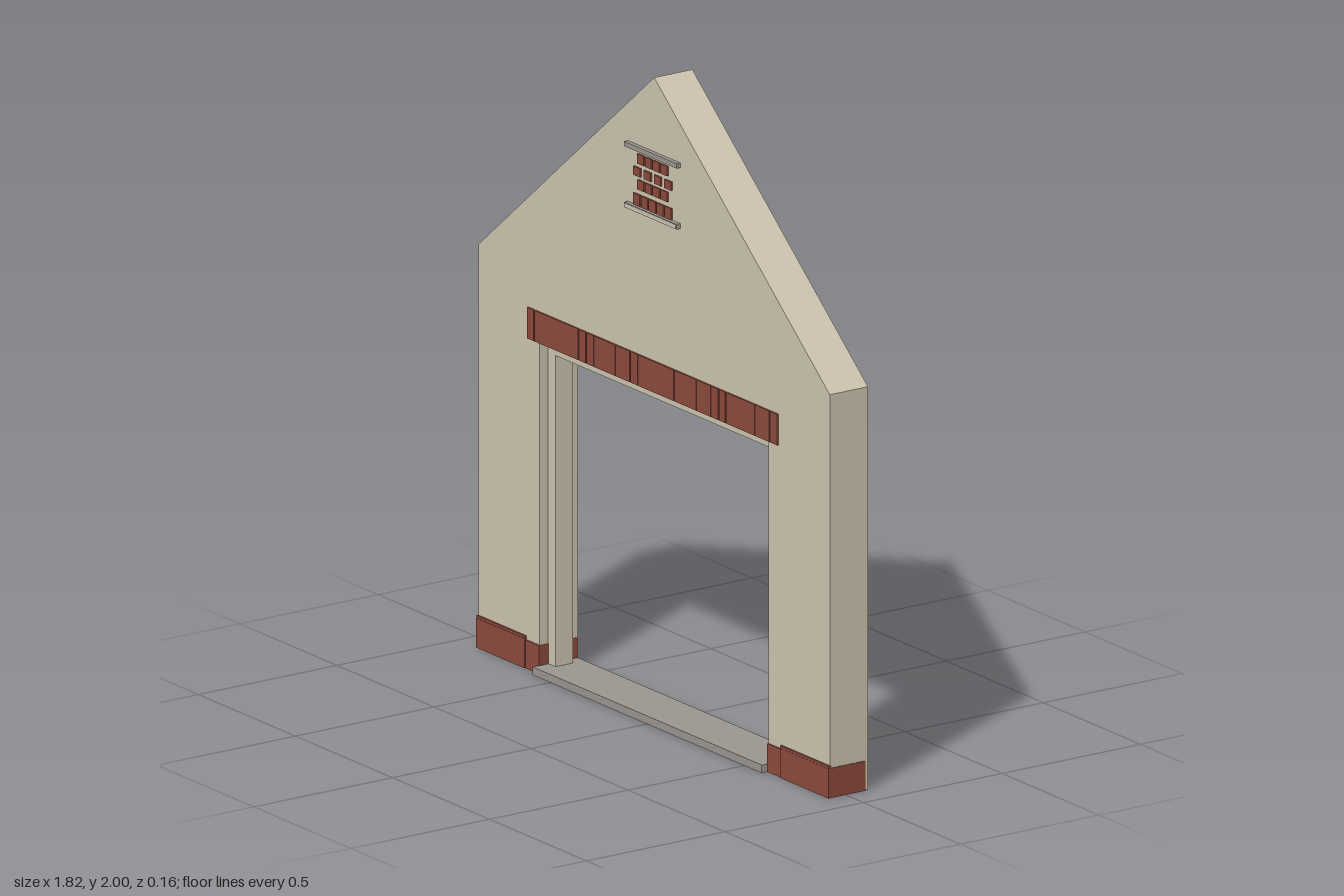
import * as THREE from 'three';

const mat = (name, color) => {
  const m = new THREE.MeshStandardMaterial({ color });
  m.name = name;
  return m;
};

export function createModel() {
  const model = new THREE.Group();
  const render = mat('cream render', 0xcec5b0);
  const brick = mat('red brick', 0x8c4a3d);
  const stone = mat('grey stone', 0x9c9690);

  // box given by its lower and upper limits on each axis
  const box = (name, material, x0, x1, y0, y1, z0, z1, parent = model) => {
    const mesh = new THREE.Mesh(new THREE.BoxGeometry(x1 - x0, y1 - y0, z1 - z0), material);
    mesh.position.set((x0 + x1) / 2, (y0 + y1) / 2, (z0 + z1) / 2);
    mesh.name = name;
    parent.add(mesh);
    return mesh;
  };
  const group = (name) => {
    const g = new THREE.Group();
    g.name = name;
    model.add(g);
    return g;
  };
  // extruded outline from z0 to z1
  const slab = (name, points, z0, z1) => {
    const shape = new THREE.Shape(points.map(([x, y]) => new THREE.Vector2(x, y)));
    const geo = new THREE.ExtrudeGeometry(shape, { depth: z1 - z0, bevelEnabled: false });
    const mesh = new THREE.Mesh(geo, render);
    mesh.position.z = z0;
    mesh.name = name;
    model.add(mesh);
  };

  // gable wall with doorway
  slab('gableWall', [
    [-0.905, 0.002], [-0.59, 0.002], [-0.59, 1.03], [0.59, 1.03], [0.59, 0.002],
    [0.905, 0.002], [0.905, 1.25], [0, 2], [-0.905, 1.25],
  ], -0.083, 0.055);

  // door frame set back inside the reveal
  slab('doorFrame', [
    [-0.59, 0.02], [-0.553, 0.02], [-0.553, 0.99], [0.553, 0.99], [0.553, 0.02],
    [0.59, 0.02], [0.59, 1.03], [-0.59, 1.03],
  ], -0.04, 0.024);

  box('doorSill', stone, -0.59, 0.59, 0, 0.025, -0.082, 0.08);

  // brick plinths, mirrored
  for (const s of [-1, 1]) {
    const span = (a, b) => (s > 0 ? [a, b] : [-b, -a]);
    const plinth = group(s > 0 ? 'leftPlinth' : 'rightPlinth');
    box('plinthBlock', brick, ...span(0.658, 0.908), 0, 0.092, -0.072, 0.062, plinth);
    box('plinthTopCourse', brick, ...span(0.658, 0.907), 0.092, 0.1, 0.05, 0.061, plinth);
    box('plinthReturn', brick, ...span(0.588, 0.658), 0, 0.088, -0.08, 0.059, plinth);
  }

  // soldier course over the door, with open joints between runs
  const lintel = group('brickLintel');
  const joints = [-0.648, -0.61, -0.38, -0.342, -0.115, 0.112, 0.34, 0.376, 0.604, 0.645];
  for (let i = 0; i < joints.length - 1; i++) {
    const a = joints[i] + 0.0025, b = joints[i + 1] - 0.0025;
    const n = Math.max(1, Math.round((b - a) / 0.037));
    const w = (b - a) / n;
    for (let k = 0; k < n; k++) {
      box('lintelBrick', brick, a + k * w, a + (k + 1) * w - 0.0006, 1.026, 1.122, 0.05, 0.061, lintel);
    }
  }

  // bricked-up vent: [bottom, top, left, right, brick count, gap]
  const vent = group('brickVent');
  const rows = [
    [1.583, 1.618, -0.1, 0.095, 5, 0.006],
    [1.634, 1.664, -0.08, 0.074, 4, 0.007],
    [1.674, 1.701, -0.1, 0.095, 4, 0.019],
    [1.714, 1.744, -0.08, 0.074, 4, 0.007],
  ];
  for (const [y0, y1, x0, x1, n, gap] of rows) {
    const w = (x1 - x0 + gap) / n;
    for (let k = 0; k < n; k++) {
      box('ventBrick', brick, x0 + k * w, x0 + (k + 1) * w - gap, y0, y1, 0.05, 0.061, vent);
    }
  }

  // stone bars above and below the vent, the lower one rendered on its face
  box('ventHead', stone, -0.135, 0.135, 1.755, 1.77, 0.05, 0.069, vent);
  box('ventSill', stone, -0.135, 0.135, 1.566, 1.582, 0.05, 0.069, vent);
  box('ventSillFace', render, -0.133, 0.133, 1.568, 1.58, 0.068, 0.0705, vent);

  return model;
}
